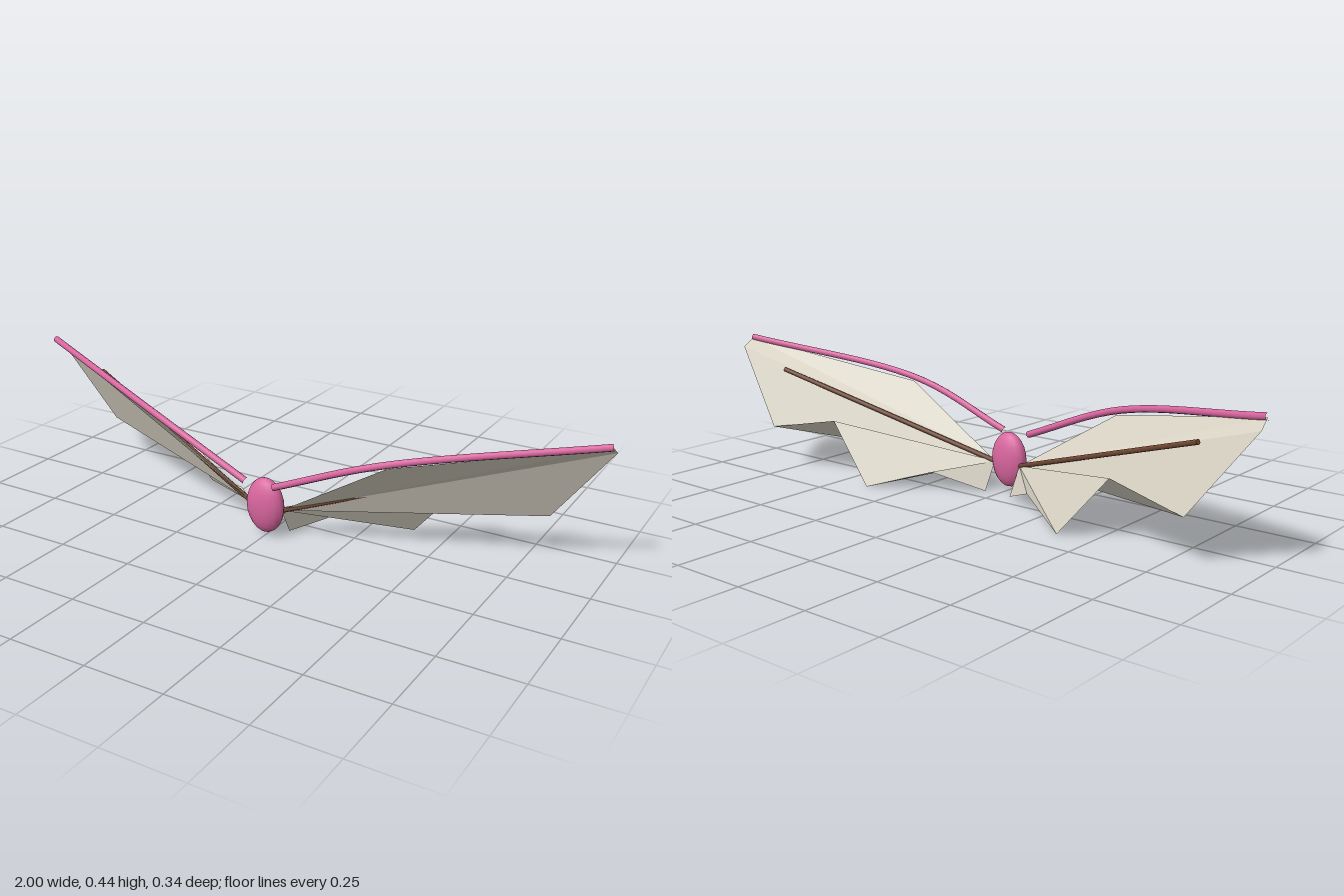
import * as THREE from 'three';

const material = (name, color, extra = {}) =>
  Object.assign(new THREE.MeshStandardMaterial({ color, ...extra }), { name });

export function createModel() {
  const pink = material('pink', 0xd9669f);
  const bone = material('bone', 0xd8d2c4, { flatShading: true, side: THREE.DoubleSide });
  const brown = material('brown', 0x6e4632);

  const model = new THREE.Group();
  model.name = 'wingedBody';
  const add = (parent, name, geometry, mat) => {
    const mesh = new THREE.Mesh(geometry, mat);
    mesh.name = name;
    parent.add(mesh);
    return mesh;
  };

  // Egg-shaped body
  const body = add(model, 'body', new THREE.SphereGeometry(1, 16, 12), pink);
  body.scale.set(0.065, 0.091, 0.036);
  body.position.set(0, 0.107, 0.121);

  // Membrane: a pleated fan from the root, tips alternating with raised notches
  const root = [0.05, 0.095, 0.11];
  const rim = [
    [0.41, 0.315, 0.117], [0.995, 0.43, -0.088], [0.998, 0.402, -0.128],
    [0.81, 0.147, -0.168], [0.55, 0.198, -0.13], [0.385, 0.004, -0.148],
    [0.195, 0.064, -0.04], [0.05, 0.004, 0.06],
  ];

  for (const [side, s] of [['left', 1], ['right', -1]]) {
    const wing = new THREE.Group();
    wing.name = `${side}Wing`;
    model.add(wing);
    const v = ([x, y, z]) => new THREE.Vector3(s * x, y, z);

    const corners = [];
    for (let i = 0; i < rim.length - 1; i++) {
      const pair = s > 0 ? [rim[i], rim[i + 1]] : [rim[i + 1], rim[i]];
      corners.push(v(root), ...pair.map(v));
    }
    const fan = new THREE.BufferGeometry().setFromPoints(corners);
    fan.computeVertexNormals();
    add(wing, 'membrane', fan, bone);

    // Curved leading edge
    const edge = new THREE.CatmullRomCurve3(
      [[0.05, 0.19, 0.157], [0.4, 0.325, 0.123], [0.995, 0.432, -0.087]].map(v));
    add(wing, 'leadingEdge', new THREE.TubeGeometry(edge, 20, 0.011, 8), pink);

    // Straight finger bone crossing the membrane
    const from = v(root), to = v([0.81, 0.34, -0.108]);
    const dir = to.clone().sub(from);
    const rod = add(wing, 'fingerBone',
      new THREE.CylinderGeometry(0.008, 0.008, dir.length(), 8), brown);
    rod.position.copy(from).add(to).multiplyScalar(0.5);
    rod.quaternion.setFromUnitVectors(new THREE.Vector3(0, 1, 0), dir.normalize());
  }
  return model;
}
